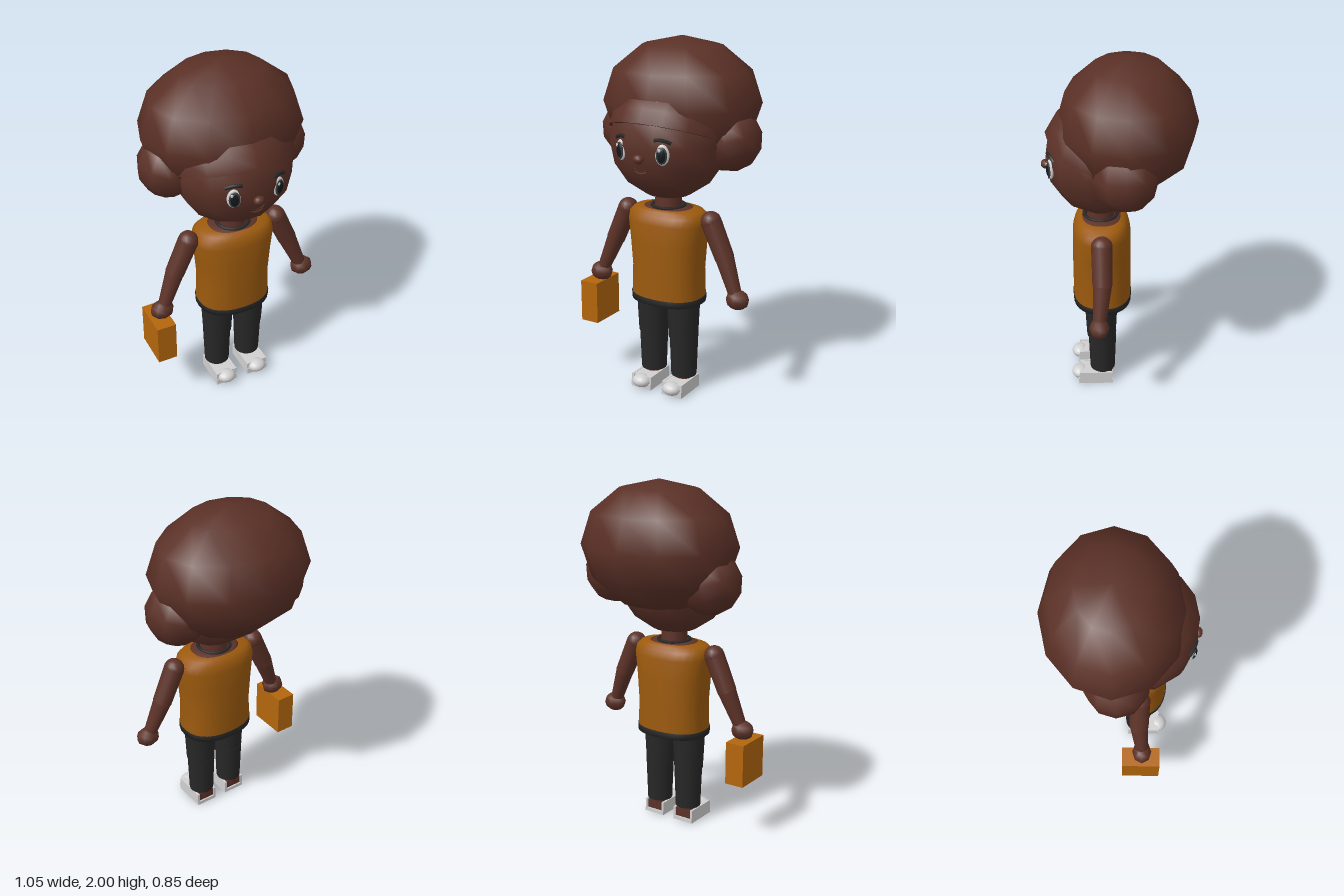
import * as THREE from 'three';

const paint = (name, color) => Object.assign(new THREE.MeshStandardMaterial({ color }), { name });

export function createModel() {
  const skin = paint('skin', 0x5c3228);
  const hairBrown = paint('hairBrown', 0x5a3026);
  const orange = paint('shirtOrange', 0x9c5a0e);
  const amber = paint('bagAmber', 0xb3660c);
  const charcoal = paint('charcoal', 0x272727);
  const white = paint('white', 0xd0d0d0);
  const black = paint('black', 0x141618);
  const lipBrown = paint('lipBrown', 0x44221b);
  const slate = paint('irisSlate', 0x343a3e);
  charcoal.side = orange.side = THREE.DoubleSide;

  const root = new THREE.Group();
  root.name = 'figure';

  const add = (name, geo, mat, pos = [0, 0, 0], parent = root) => {
    const m = new THREE.Mesh(geo, mat);
    m.name = name;
    m.position.set(...pos);
    parent.add(m);
    return m;
  };
  const ball = (name, mat, pos, size, w = 16, h = 12, parent = root) => {
    const m = add(name, new THREE.SphereGeometry(1, w, h), mat, pos, parent);
    m.scale.set(...size);
    return m;
  };
  const box = (name, mat, pos, size, parent = root) =>
    add(name, new THREE.BoxGeometry(...size), mat, pos, parent);
  // Tapered cylinder running from a (top) to b (bottom)
  const limb = (name, mat, a, b, ra, rb, sides = 14) => {
    const p = new THREE.Vector3(...a), q = new THREE.Vector3(...b);
    const m = add(name, new THREE.CylinderGeometry(ra, rb, p.distanceTo(q), sides), mat);
    m.position.copy(p).add(q).multiplyScalar(0.5);
    m.quaternion.setFromUnitVectors(new THREE.Vector3(0, 1, 0), p.sub(q).normalize());
    return m;
  };
  // Rounded-square cross-sections [y, rx, rz] joined upward
  const loft = (sections, n = 28, power = 0.85) => {
    const pos = [], idx = [];
    const soft = v => Math.sign(v) * Math.abs(v) ** power;
    sections.forEach(([y, rx, rz], j) => {
      for (let i = 0; i < n; i++) {
        const t = (i / n) * Math.PI * 2;
        pos.push(rx * soft(Math.cos(t)), y, rz * soft(Math.sin(t)));
        if (j) {
          const a = (j - 1) * n + i, b = (j - 1) * n + (i + 1) % n;
          idx.push(a, a + n, b, b, a + n, b + n);
        }
      }
    });
    const g = new THREE.BufferGeometry();
    g.setAttribute('position', new THREE.Float32BufferAttribute(pos, 3));
    g.setIndex(idx);
    g.computeVertexNormals();
    return g;
  };

  // Head, set with a flat facet to the front
  const headGeo = new THREE.SphereGeometry(1, 12, 8).rotateY(Math.PI / 12);
  add('head', headGeo, skin, [0, 1.46, 0.1]).scale.set(0.335, 0.33, 0.303);
  ball('nose', skin, [0, 1.4, 0.398], [0.031, 0.025, 0.025], 10, 8);

  // Hair: large crown, tilted hairline cap and side puffs
  ball('hairCrown', hairBrown, [0, 1.64, -0.047], [0.458, 0.36, 0.381], 12, 6);
  const cap = add('hairlineCap',
    new THREE.SphereGeometry(1, 16, 6, 0, Math.PI * 2, 0, Math.PI / 2), hairBrown, [0, 1.468, 0.082]);
  cap.scale.set(0.345, 0.31, 0.335);
  cap.rotation.x = -0.37;
  const rim = add('hairlineRim', new THREE.RingGeometry(0.9, 1, 16).rotateX(Math.PI / 2), hairBrown, [0, 1.468, 0.082]);
  rim.scale.copy(cap.scale);
  rim.rotation.copy(cap.rotation);

  for (const s of [-1, 1]) {
    const puff = ball('hairPuff', hairBrown, [s * 0.315, 1.465, -0.025], [0.175, 0.175, 0.175], 10, 6);
    puff.rotation.z = s * 0.26;

    // Eye: flattened layers turned along the face
    const eye = new THREE.Group();
    eye.name = 'eye';
    eye.position.set(s * 0.128, 1.432, 0.366);
    eye.rotation.y = s * 0.36;
    root.add(eye);
    ball('eyeWhite', white, [0, 0, 0], [0.038, 0.056, 0.014], 20, 12, eye);
    ball('iris', slate, [-s * 0.002, -0.002, 0.01], [0.03, 0.046, 0.008], 20, 12, eye);
    ball('pupil', black, [-s * 0.002, -0.002, 0.014], [0.022, 0.036, 0.007], 16, 10, eye);
    ball('eyeGlint', white, [-0.013, 0.026, 0.017], [0.008, 0.01, 0.004], 10, 8, eye);

    // Eyebrow, lower on the outer side
    const curve = new THREE.QuadraticBezierCurve3(
      new THREE.Vector3(s * 0.088, 1.507, 0.381),
      new THREE.Vector3(s * 0.13, 1.518, 0.372),
      new THREE.Vector3(s * 0.168, 1.492, 0.345));
    add('eyebrow', new THREE.TubeGeometry(curve, 8, 0.01, 6), charcoal);
  }

  // Mouth: smile line with a small lower lip
  const lip = (name, mat, y, w, dip, r) => add(name, new THREE.TubeGeometry(
    new THREE.QuadraticBezierCurve3(new THREE.Vector3(-w, y, 0.372),
      new THREE.Vector3(0, y - dip, 0.386), new THREE.Vector3(w, y, 0.372)), 12, r, 6), mat);
  lip('smile', lipBrown, 1.342, 0.046, 0.02, 0.005);
  lip('lowerLip', skin, 1.331, 0.036, 0.02, 0.008);

  // Neck, chest opening and collar
  limb('neck', skin, [0, 1.19, 0.1], [0, 1.0, 0.1], 0.072, 0.08, 16);
  ball('chest', skin, [0, 1.07, 0.1], [0.15, 0.02, 0.115], 20, 8);
  const collar = add('collar', new THREE.TorusGeometry(0.09, 0.011, 6, 28).rotateX(Math.PI / 2), charcoal, [0, 1.086, 0.1]);
  collar.scale.set(1, 0.8, 1);

  // Sleeveless shirt and dark hem
  add('shirt', loft([[0.572, 0.212, 0.165], [0.73, 0.206, 0.165], [0.88, 0.219, 0.165],
    [1.0, 0.235, 0.162], [1.045, 0.228, 0.15], [1.07, 0.202, 0.13], [1.08, 0.14, 0.108]]),
  orange, [0, 0, 0.097]);
  add('shirtHem', loft([[0.538, 0.18, 0.145], [0.538, 0.214, 0.167], [0.574, 0.216, 0.169], [0.576, 0.205, 0.16]]),
    charcoal, [0, 0, 0.097]);
  ball('hips', skin, [0, 0.575, 0.097], [0.195, 0.075, 0.15], 20, 10);

  for (const s of [-1, 1]) {
    // Arm
    const shoulder = [s * 0.27, 1.03, 0.1], elbow = [s * 0.358, 0.835, 0.1], wrist = [s * 0.442, 0.63, 0.12];
    ball('shoulder', skin, shoulder, [0.057, 0.057, 0.06], 14, 10);
    limb('upperArm', skin, shoulder, elbow, 0.058, 0.054);
    ball('elbow', skin, elbow, [0.051, 0.051, 0.051], 14, 10);
    limb('forearm', skin, elbow, wrist, 0.052, 0.035);
    ball('hand', skin, [s * 0.45, 0.62, 0.12], [0.069, 0.056, 0.056], 8, 6);

    // Trouser leg
    limb('thigh', charcoal, [s * 0.1, 0.575, 0.105], [s * 0.1, 0.325, 0.105], 0.096, 0.084, 18);
    limb('shin', charcoal, [s * 0.101, 0.34, 0.1], [s * 0.101, 0.09, 0.1], 0.082, 0.073, 18);
    limb('ankle', skin, [s * 0.102, 0.12, 0.1], [s * 0.102, 0.04, 0.1], 0.055, 0.055);

    // Shoe: white shell around a bare sole and heel
    const shoe = new THREE.Group();
    shoe.name = 'shoe';
    shoe.position.x = s * 0.102;
    root.add(shoe);
    for (const e of [-1, 1]) {
      box('shoeSide', white, [e * 0.058, 0.04, 0.14], [0.014, 0.078, 0.196], shoe);
    }
    box('shoeHeelStrip', white, [0, 0.012, 0.047], [0.13, 0.022, 0.012], shoe);
    box('shoeToeStrip', white, [0, 0.02, 0.236], [0.13, 0.038, 0.014], shoe);
    box('shoeTop', white, [0, 0.06, 0.165], [0.116, 0.034, 0.14], shoe);
    box('foot', skin, [0, 0.04, 0.14], [0.104, 0.066, 0.18], shoe);
    ball('shoeToe', white, [0, 0.047, 0.235], [0.056, 0.037, 0.05], 16, 10, shoe);
  }

  // Box bag hanging under the right hand
  box('bag', amber, [-0.47, 0.453, 0.115], [0.112, 0.245, 0.222]);

  return root;
}
